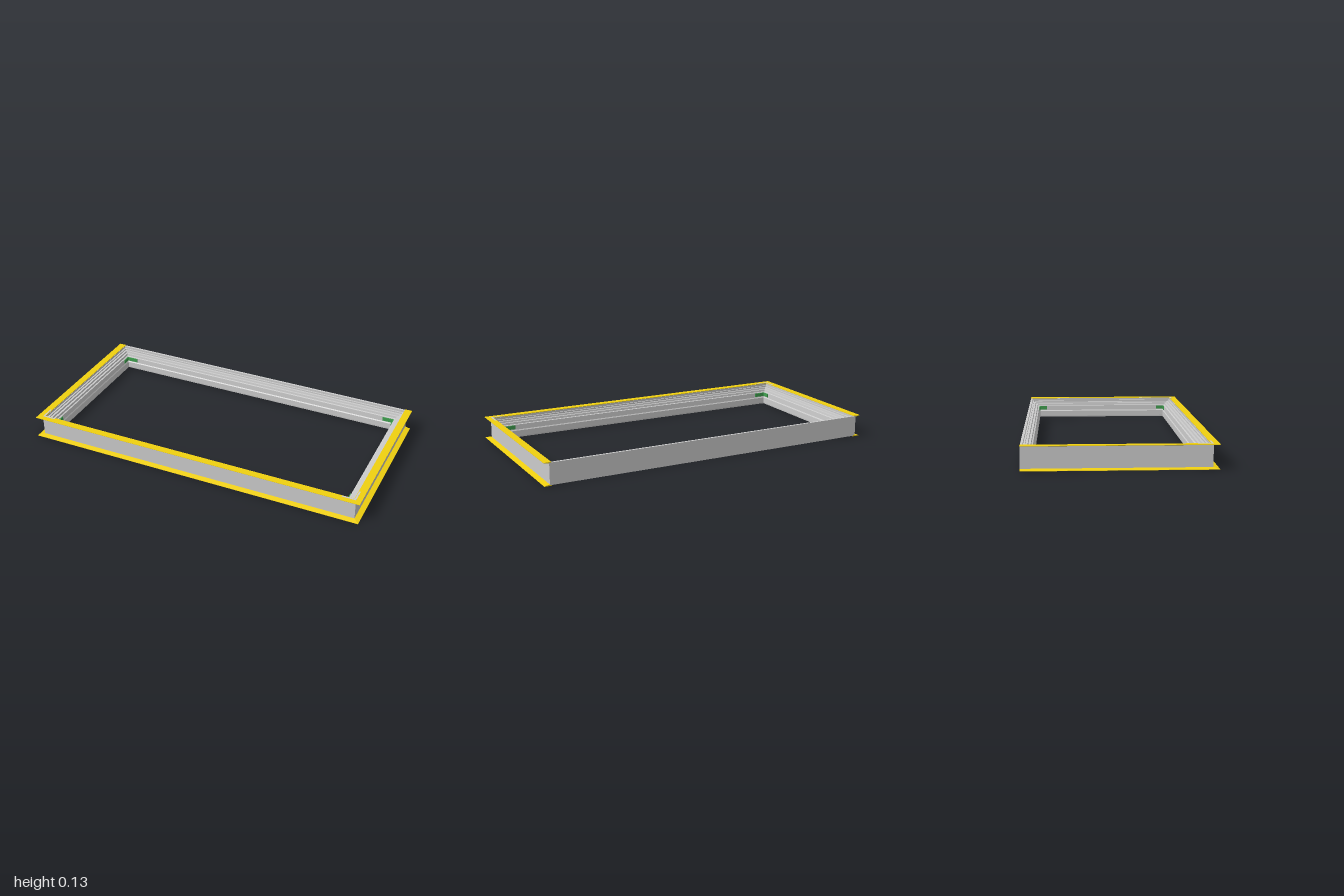
import * as THREE from 'three';

const grey = new THREE.MeshStandardMaterial({ color: 0xcccccc, flatShading: true });
const yellow = new THREE.MeshStandardMaterial({ color: 0xf0d010, flatShading: true });
const green = new THREE.MeshStandardMaterial({ color: 0x3fa04f, flatShading: true });

// Corners of the frame, moved outward by o from the outer wall
const closedPath = (o) => [
  [-0.97 - o, -0.5 - o], [-0.97 - o, 0.47 + o], [0.97 + o, 0.47 + o], [0.97 + o, -0.5 - o],
];
// Same, but the two back ends stay flush with the back wall
const openPath = (o) => [
  [-0.97 - o, -0.5], [-0.97 - o, 0.47 + o], [0.97 + o, 0.47 + o], [0.97 + o, -0.5],
];

// Sweeps a counterclockwise section of [outward, y] points round the corners with mitres
function sweep(name, section, path, closed, material) {
  const pos = [];
  const point = (k, i) => {
    const [o, y] = section[k % section.length];
    const [x, z] = path(o)[i % 4];
    return [x, y, z];
  };
  const tri = (a, b, c) => pos.push(...a, ...b, ...c);
  for (let i = 0; i < (closed ? 4 : 3); i++) {
    for (let k = 0; k < section.length; k++) {
      const a = point(k, i), b = point(k, i + 1), c = point(k + 1, i + 1), d = point(k + 1, i);
      tri(a, b, c);
      tri(a, c, d);
    }
  }
  if (!closed) {
    for (let k = 1; k < section.length - 1; k++) {
      tri(point(0, 0), point(k, 0), point(k + 1, 0));
      tri(point(0, 3), point(k + 1, 3), point(k, 3));
    }
  }
  const geometry = new THREE.BufferGeometry();
  geometry.setAttribute('position', new THREE.Float32BufferAttribute(pos, 3));
  geometry.computeVertexNormals();
  const mesh = new THREE.Mesh(geometry, material);
  mesh.name = name;
  return mesh;
}

function box(name, size, position, material) {
  const mesh = new THREE.Mesh(new THREE.BoxGeometry(...size), material);
  mesh.position.set(...position);
  mesh.name = name;
  return mesh;
}

export function createModel() {
  const model = new THREE.Group();
  model.name = 'windowFrame';

  // Stepped hollow-section frame, wall outside and deep lip inside
  const frameSection = [
    [-0.063, 0.004], [-0.05, 0.004], [-0.048, 0.01], [-0.03, 0.01], [-0.028, 0.004],
    [0, 0.004], [0, 0.125], [-0.013, 0.125], [-0.013, 0.112], [-0.022, 0.112],
    [-0.022, 0.104], [-0.034, 0.104], [-0.036, 0.094], [-0.048, 0.094],
    [-0.05, 0.082], [-0.058, 0.08], [-0.06, 0.05], [-0.064, 0.044], [-0.064, 0.012],
  ];
  model.add(sweep('frame', frameSection, closedPath, true, grey));

  // Thin tapered flanges round the front and both ends
  const low = [[-0.012, 0], [0.03, 0], [0.03, 0.002], [0, 0.008], [-0.012, 0.008]];
  const high = low.map(([o, y]) => [o, 0.128 - y]).reverse();
  model.add(sweep('bottomFlange', low, openPath, false, yellow));
  model.add(sweep('topFlange', high, openPath, false, yellow));

  // Small angle brackets in the inner corners
  for (const sx of [-1, 1]) {
    for (const sz of [-1, 1]) {
      const bracket = new THREE.Group();
      bracket.name = 'cornerBracket';
      bracket.add(
        box('bracketLongArm', [0.07, 0.022, 0.007], [sx * 0.876, 0.066, -0.015 + sz * 0.424], green),
        box('bracketShortArm', [0.007, 0.022, 0.05], [sx * 0.909, 0.066, -0.015 + sz * 0.401], green),
      );
      model.add(bracket);
    }
    // Pale cover plates on the front top corners
    model.add(
      box('cornerPlateFront', [0.08, 0.002, 0.01], [sx * 0.93, 0.1275, 0.465], grey),
      box('cornerPlateSide', [0.01, 0.002, 0.08], [sx * 0.965, 0.1275, 0.43], grey),
    );
  }
  return model;
}
